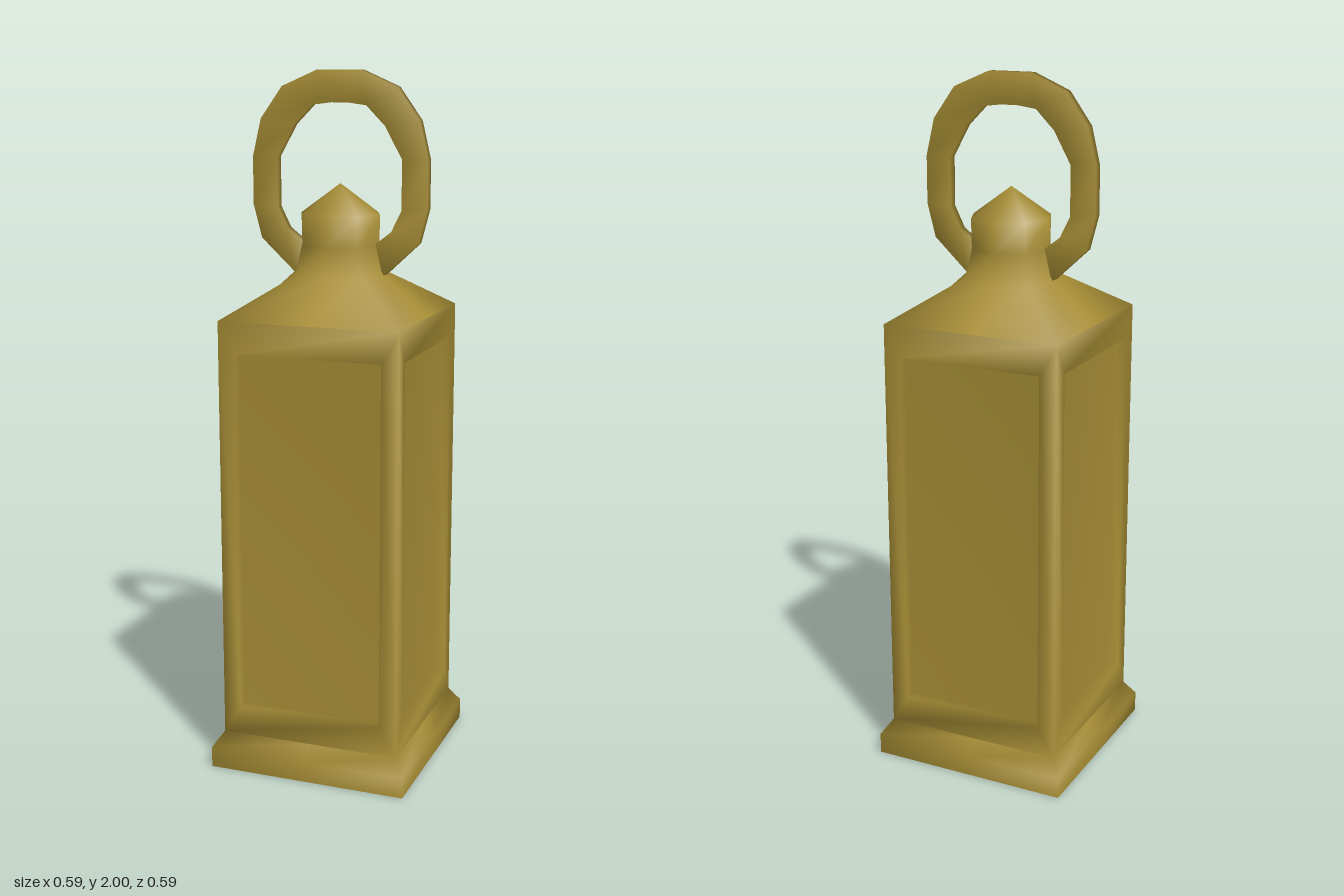
import * as THREE from 'three';
import { mergeVertices } from 'three/addons/utils/BufferGeometryUtils.js';

const material = new THREE.MeshStandardMaterial({ color: 0xa68d35 });

// Collects quads and triangles, welds shared corners and smooths the normals
function meshFromFaces(name, faces) {
  const pos = [];
  for (const f of faces) {
    for (let i = 1; i < f.length - 1; i++) pos.push(...f[0], ...f[i], ...f[i + 1]);
  }
  let geo = new THREE.BufferGeometry();
  geo.setAttribute('position', new THREE.Float32BufferAttribute(pos, 3));
  geo = mergeVertices(geo, 1e-4);
  geo.computeVertexNormals();
  const mesh = new THREE.Mesh(geo, material);
  mesh.name = name;
  return mesh;
}

// Eight points around the axis, on a square or on an octagon
function ring(r, y, square) {
  return Array.from({ length: 8 }, (_, i) => {
    const s = Math.sin(i * Math.PI / 4), c = Math.cos(i * Math.PI / 4);
    const k = square ? r / Math.max(Math.abs(s), Math.abs(c)) : r;
    return [s * k, y, c * k];
  });
}

// Joins successive closed loops with quads
function loft(loops) {
  const faces = [];
  for (let k = 0; k < loops.length - 1; k++) {
    const a = loops[k], b = loops[k + 1], n = a.length;
    for (let i = 0; i < n; i++) {
      const j = (i + 1) % n;
      faces.push([a[i], a[j], b[j], b[i]]);
    }
  }
  return faces;
}

const HALF = 0.264, SILL = 0.105, EAVES = 1.325;

// One wall: a frame, the step into its window, and the recessed pane
function wall(turn) {
  const c = Math.round(Math.cos(turn)), s = Math.round(Math.sin(turn));
  const rect = (w, y0, y1, d) => [[-w, y0], [w, y0], [w, y1], [-w, y1]]
    .map(([x, y]) => [x * c + d * s, y, -x * s + d * c]);
  const pane = rect(0.213, 0.19, 1.235, HALF - 0.03);
  return [
    ...loft([rect(HALF, SILL, EAVES, HALF), rect(0.213, 0.19, 1.235, HALF), pane]),
    pane,
  ];
}

function createBody() {
  const faces = loft([ring(0.294, 0, true), ring(0.294, 0.06, true), ring(HALF, SILL, true)]);
  for (let i = 0; i < 4; i++) faces.push(...wall(i * Math.PI / 2));

  // Roof changes from square to octagon, then the neck and its pointed cap
  const crown = ring(0.118, 1.605, false);
  faces.push(...loft([
    ring(HALF, EAVES, true), ring(0.135, 1.44, false), ring(0.116, 1.52, false), crown,
  ]));
  crown.forEach((p, i) => faces.push([p, crown[(i + 1) % 8], [0, 1.69, 0]]));
  return meshFromFaces('lanternBody', faces);
}

function createHandle() {
  // Outer and inner outline of the right half, from the neck to the top
  const half = [
    [0.135, 1.437, 0.09, 1.51], [0.235, 1.53, 0.155, 1.56], [0.26, 1.625, 0.185, 1.62],
    [0.26, 1.76, 0.185, 1.76], [0.235, 1.865, 0.135, 1.85], [0.17, 1.955, 0.08, 1.905],
    [0.065, 2.0, 0.025, 1.912],
  ];
  const path = [...half, ...half.slice().reverse().map(([a, b, c, d]) => [-a, b, -c, d])];
  const t = 0.0135;
  const sections = path.map(([ox, oy, ix, iy]) => [
    [ox, oy, t], [ox, oy, -t], [ix, iy, -t], [ix, iy, t],
  ]);
  return meshFromFaces('carryingRing', [
    ...loft(sections),
    sections[0].slice().reverse(),
    sections[sections.length - 1],
  ]);
}

export function createModel() {
  const group = new THREE.Group();
  group.name = 'lantern';
  group.add(createBody(), createHandle());

  // Flat underside
  group.add(meshFromFaces('underside', [ring(0.294, 0, true).reverse()]));
  return group;
}
